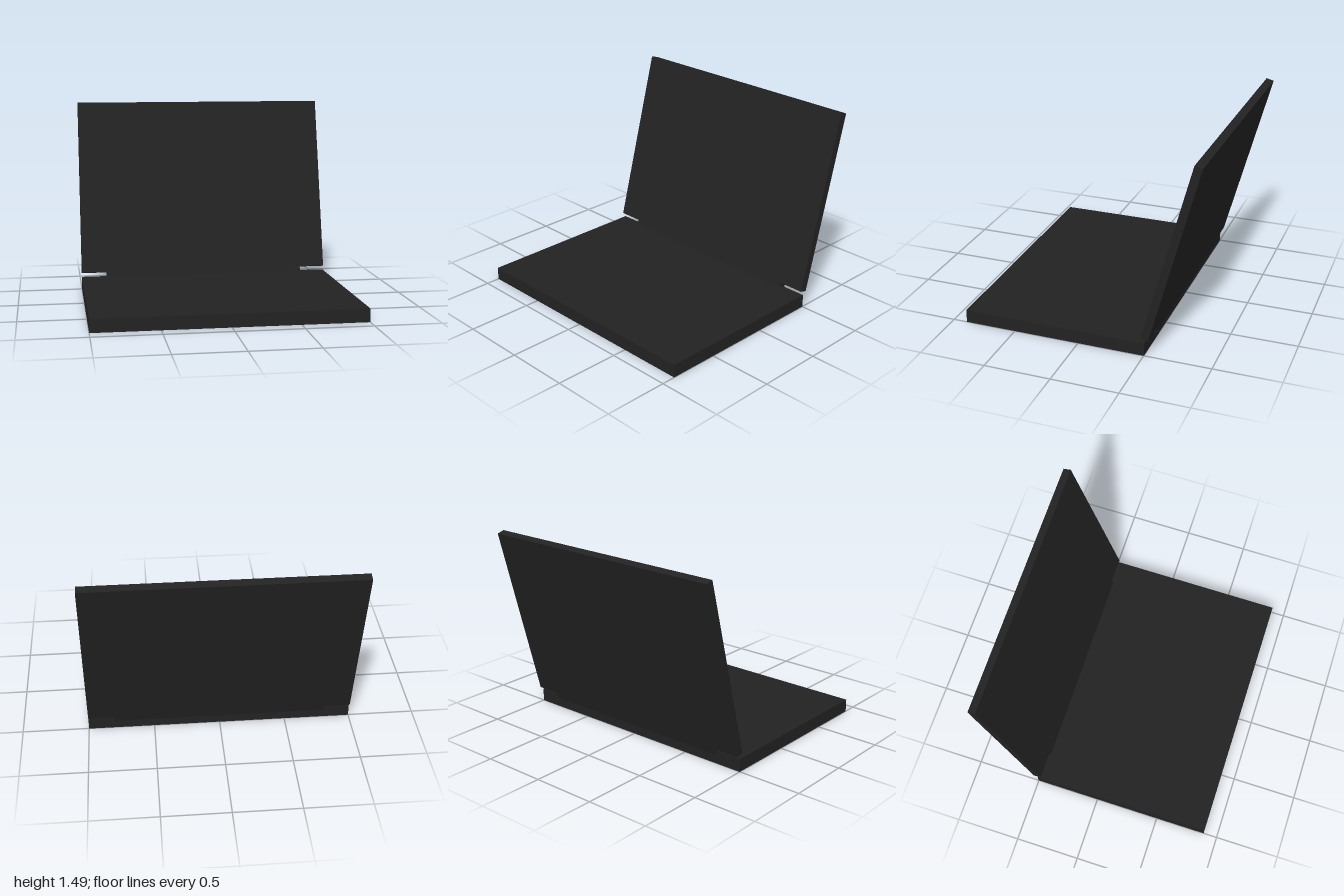
import * as THREE from 'three';

export function createModel() {
  const model = new THREE.Group();
  model.name = 'laptop';
  const charcoal = new THREE.MeshStandardMaterial({ color: 0x222222 });
  charcoal.name = 'charcoal';

  // Flat keyboard base
  const base = new THREE.Mesh(new THREE.BoxGeometry(2, 0.1, 1.395), charcoal);
  base.name = 'base';
  base.position.set(0, 0.05, 0.195);
  model.add(base);

  // Lid panel with a narrower hinge tongue along its lower edge
  const height = 1.448, notch = 0.05, thickness = 0.06;
  const outline = new THREE.Shape([
    [-0.8, 0], [0.8, 0], [0.8, notch], [1, notch],
    [1, height], [-1, height], [-1, notch], [-0.8, notch],
  ].map(([x, y]) => new THREE.Vector2(x, y)));
  const panel = new THREE.ExtrudeGeometry(outline, { depth: thickness, bevelEnabled: false });
  panel.translate(0, 0, -thickness);

  // Lean the lid back from the rear edge of the base
  const lid = new THREE.Mesh(panel, charcoal);
  lid.name = 'lid';
  lid.position.set(0, 0.091, -0.461);
  lid.rotation.x = -THREE.MathUtils.degToRad(15);
  model.add(lid);

  return model;
}
